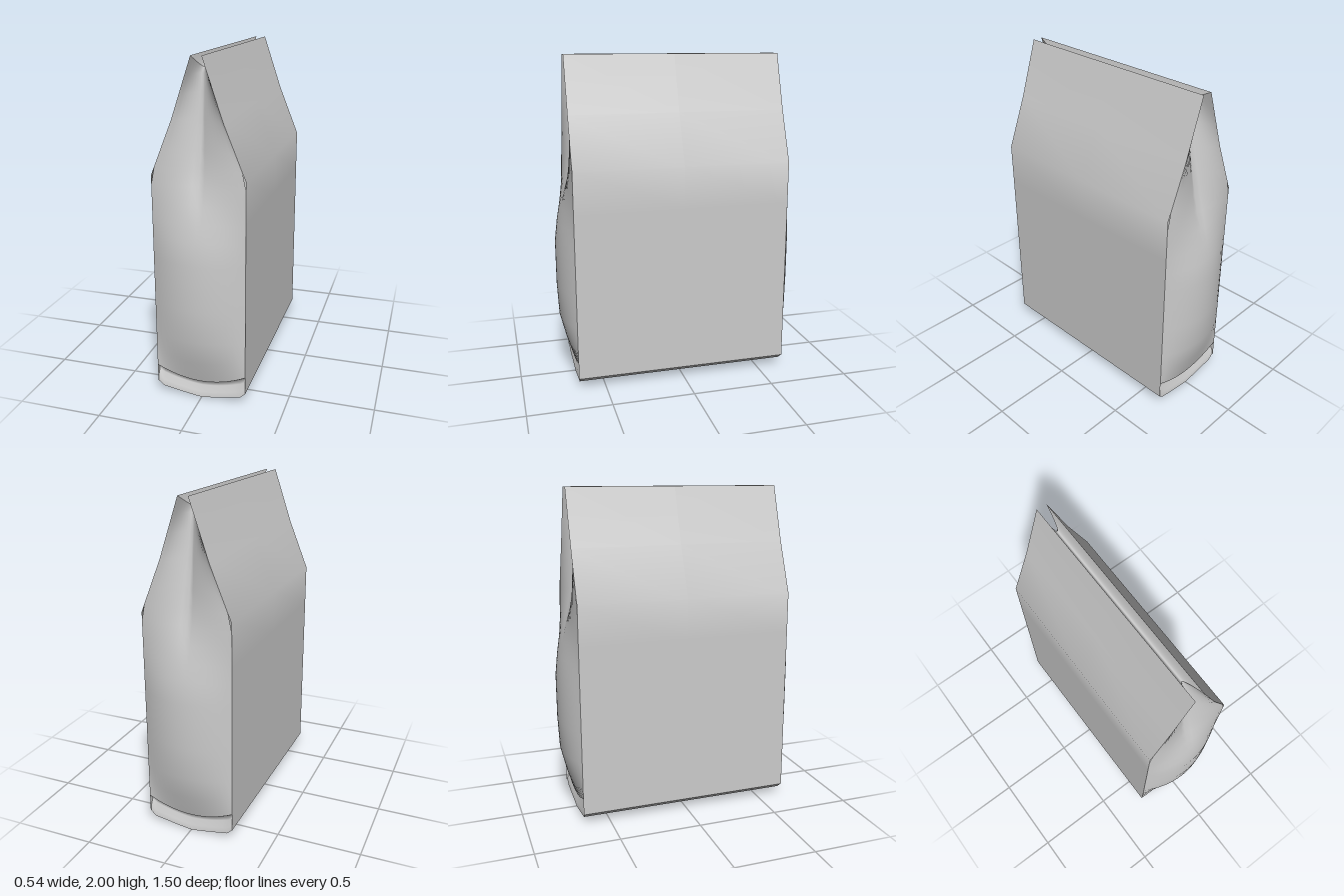
import * as THREE from 'three';

const HALF_DEPTH = 0.665;
const material = new THREE.MeshStandardMaterial({ color: 0xcccccc, side: THREE.DoubleSide });

// Smooth sheet through rows of points (rows run upward, columns rightward, seen from outside)
function sheet(name, rows) {
  const cols = rows[0].length, index = [];
  for (let r = 0; r < rows.length - 1; r++) {
    for (let c = 0; c < cols - 1; c++) {
      const a = r * cols + c, d = a + cols;
      index.push(a, a + 1, d, a + 1, d + 1, d);
    }
  }
  const geometry = new THREE.BufferGeometry();
  geometry.setAttribute('position', new THREE.Float32BufferAttribute(rows.flat(2), 3));
  geometry.setIndex(index);
  geometry.computeVertexNormals();
  const mesh = new THREE.Mesh(geometry, material);
  mesh.name = name;
  return mesh;
}

// Half width of the bag at a height
function halfWidth(y) {
  if (y <= 1.35) return 0.27;
  if (y <= 1.66) return THREE.MathUtils.mapLinear(y, 1.35, 1.66, 0.27, 0.145);
  return THREE.MathUtils.mapLinear(y, 1.66, 2, 0.145, 0.03);
}

// Underside height at a fraction s of the half width
const underside = s => Math.abs(s) > 0.92
  ? THREE.MathUtils.mapLinear(Math.abs(s), 0.92, 1, 0.042, 0.07)
  : 0.042 * Math.pow(Math.abs(s) / 0.92, 1.2);

const STEPS = Array.from({ length: 17 }, (_, i) => i / 8 - 1);

// Bulging end panel: [height, round bulge, centre fold, change of height at the centre]
const END_ROWS = [
  [0.18, -0.005, 0, -0.07], [0.28, 0.038, 0, -0.03], [0.4, 0.075, 0, 0],
  [0.6, 0.085, 0, 0], [0.87, 0.085, 0, 0], [1.0, 0.068, 0, 0], [1.1, 0.048, 0, 0],
  [1.2, 0.05, -0.03, 0], [1.3, 0.07, -0.085, 0], [1.4, 0.075, -0.115, 0],
  [1.5, 0.07, -0.13, 0], [1.66, 0.03, -0.12, 0], [1.8, -0.05, -0.06, 0],
  [1.9, -0.1, -0.02, 0], [2, -0.135, 0, -0.07],
];

function endPanel() {
  return sheet('endPanel', END_ROWS.map(([y, bulge, fold, drop]) => STEPS.map(s => {
    const round = 1 - s * s;
    return [s * halfWidth(y), y + drop * round, HALF_DEPTH + bulge * round + fold * (1 - Math.abs(s))];
  })));
}

// Recessed lip below the end panel, from the underside up to the curled panel edge
function endLip() {
  const seam = s => 0.11 + 0.07 * s * s;
  const profile = [[0, 0.655], [0.3, 0.65], [0.62, 0.63], [0.85, 0.63], [1, 0.66]];
  return sheet('endLip', profile.map(([t, z]) => STEPS.map(s => [
    s * 0.27, THREE.MathUtils.lerp(underside(s), seam(s), t), z + 0.005 * s * s,
  ])));
}

// Flat side that leans inward toward the top
function sidePanel() {
  const heights = [0.07, 1.1, 1.35, 1.66, 2];
  return sheet('sidePanel', heights.map(y =>
    [HALF_DEPTH, 0, -HALF_DEPTH].map(z => [halfWidth(y), y, z])));
}

export function createModel() {
  const bag = new THREE.Group();
  bag.name = 'paperBag';

  // Matching halves, turned about the vertical axis
  for (const turn of [0, Math.PI]) {
    const half = new THREE.Group();
    half.name = turn ? 'backHalf' : 'frontHalf';
    half.add(endPanel(), endLip(), sidePanel());
    half.rotation.y = turn;
    bag.add(half);
  }

  // Narrow channel between the two top edges
  bag.add(sheet('topFold', [1, -1].map(end => STEPS.map(s => {
    const round = 1 - s * s;
    return [s * 0.03, 2 - 0.07 * round, end * (HALF_DEPTH - 0.135 * round)];
  }))));

  // Shallow rounded underside
  bag.add(sheet('base', [-1, 1].map(end => STEPS.map(s =>
    [s * 0.27, underside(s), end * (0.655 + 0.005 * s * s)]))));

  return bag;
}
